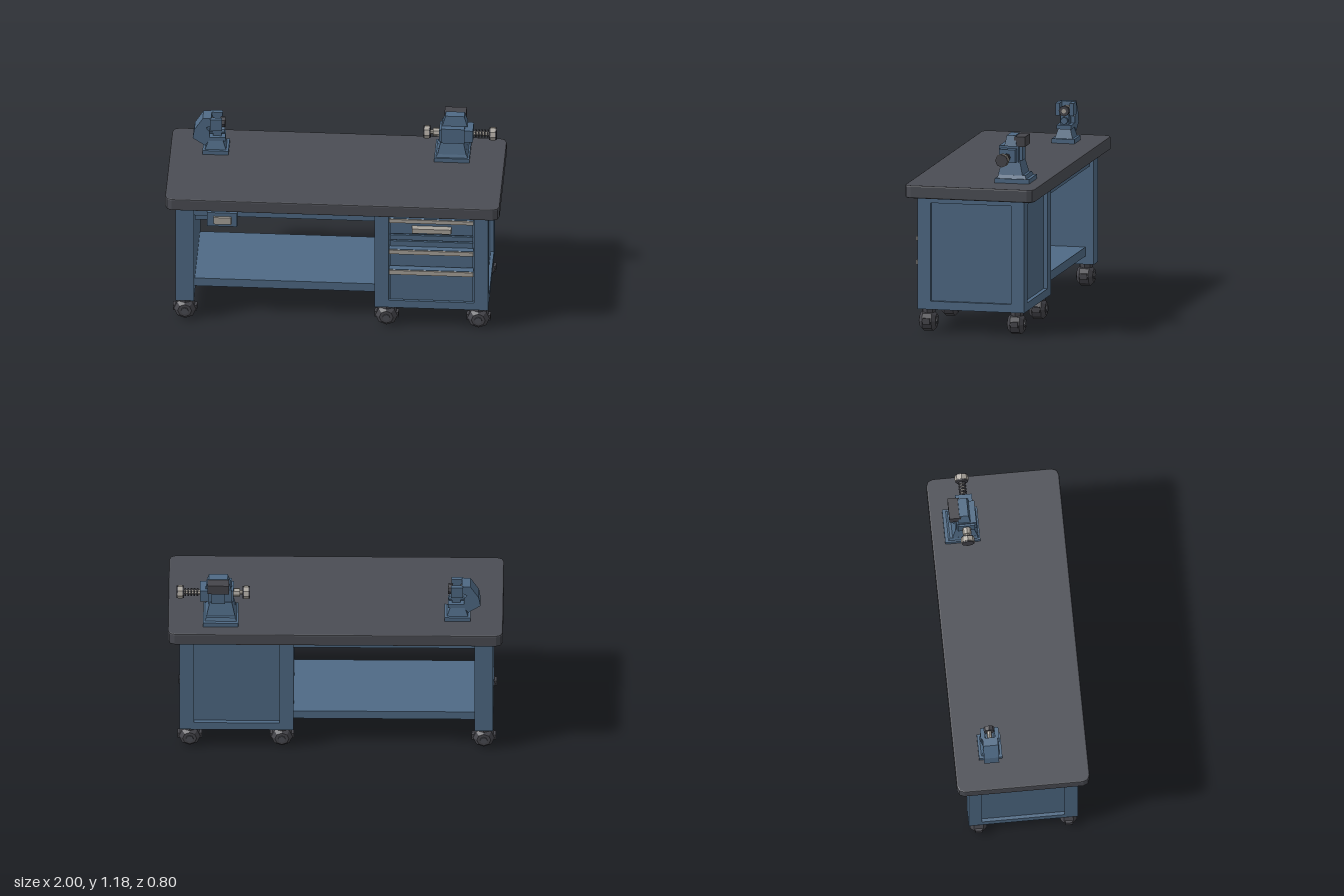
import * as THREE from 'three';

const mat = (name, color, flat = false) => {
  const m = new THREE.MeshStandardMaterial({ color, flatShading: flat });
  m.name = name;
  return m;
};

export function createModel() {
  const blue = mat('steel blue paint', 0x4f6a85, true);
  const charcoal = mat('charcoal worktop', 0x4b4d54, true);
  const rubber = mat('dark rubber', 0x45454b, true);
  const metal = mat('pale metal', 0xa8a39b, true);
  const root = new THREE.Group();
  root.name = 'workbench';

  const group = (name, parent = root) => {
    const g = new THREE.Group();
    g.name = name;
    parent.add(g);
    return g;
  };
  const add = (parent, name, geo, m) => {
    const mesh = new THREE.Mesh(geo, m);
    mesh.name = name;
    parent.add(mesh);
    return mesh;
  };
  // Box given by its limits on each axis
  const box = (parent, name, m, x0, x1, y0, y1, z0, z1) => {
    const b = add(parent, name, new THREE.BoxGeometry(x1 - x0, y1 - y0, z1 - z0), m);
    b.position.set((x0 + x1) / 2, (y0 + y1) / 2, (z0 + z1) / 2);
    return b;
  };
  // Block whose top face is scaled towards its middle
  const taper = (parent, name, m, x0, x1, y0, y1, z0, z1, sx, sz) => {
    const b = box(parent, name, m, x0, x1, y0, y1, z0, z1);
    const p = b.geometry.attributes.position;
    for (let i = 0; i < p.count; i++) {
      if (p.getY(i) > 0) p.setXYZ(i, p.getX(i) * sx, p.getY(i), p.getZ(i) * sz);
    }
    b.geometry.computeVertexNormals();
    return b;
  };
  // Rod along x
  const rod = (parent, name, m, x0, x1, y, z, r, sides = 8) => {
    const c = add(parent, name, new THREE.CylinderGeometry(r, r, x1 - x0, sides), m);
    c.rotation.z = Math.PI / 2;
    c.position.set((x0 + x1) / 2, y, z);
  };
  const polygon = (pts) => new THREE.Shape(pts.map(([x, y]) => new THREE.Vector2(x, y)));

  // Worktop with clipped corners and a soft edge
  const b = 0.008, X = 1 - b, Z = 0.398 - b, c = 0.035;
  const topShape = polygon([[-X + c, -Z], [X - c, -Z], [X - 0.01, -Z + 0.01], [X, -Z + c], [X, Z - c],
    [X - 0.01, Z - 0.01], [X - c, Z], [-X + c, Z], [-X + 0.01, Z - 0.01], [-X, Z - c], [-X, -Z + c], [-X + 0.01, -Z + 0.01]]);
  const topGeo = new THREE.ExtrudeGeometry(topShape, { depth: 0.078 - 2 * b, bevelSize: b, bevelThickness: b, bevelSegments: 2 });
  topGeo.rotateX(-Math.PI / 2);
  add(root, 'worktop', topGeo, charcoal).position.y = 0.82 + b;

  // Drawer cabinet: recessed core, corner posts and rails
  const cabinet = group('cabinet');
  const F = 0.33, B = -0.325, P = 0.08, Y0 = 0.14, Y1 = 0.82;
  box(cabinet, 'cabinetCore', blue, 0.25, 0.91, 0.175, Y1, B + 0.025, F - 0.02);
  for (const [x0, x1] of [[0.25, 0.335], [0.845, 0.93]]) {
    for (const [z0, z1] of [[F - P, F], [B, B + P]]) box(cabinet, 'cornerPost', blue, x0, x1, Y0, Y1, z0, z1);
    for (const [y0, y1] of [[Y0, 0.19], [0.785, Y1]]) box(cabinet, 'sideRail', blue, x0, x1, y0, y1, B + P, F - P);
  }
  for (const [z0, z1] of [[F - P, F], [B, B + P]]) {
    for (const [y0, y1] of [[Y0, 0.19], [0.785, Y1]]) box(cabinet, 'crossRail', blue, 0.335, 0.845, y0, y1, z0, z1);
  }

  // Drawer fronts with full-width pulls
  for (const [y0, y1] of [[0.195, 0.39], [0.432, 0.53], [0.572, 0.608], [0.616, 0.65], [0.66, 0.752]]) {
    box(cabinet, 'drawerFront', blue, 0.342, 0.838, y0, y1, F - 0.03, F - 0.008);
  }
  for (const [y0, y1] of [[0.39, 0.425], [0.535, 0.568], [0.752, 0.782]]) {
    const front = y1 > 0.7 ? 0.345 : 0.352;
    box(cabinet, 'drawerPull', blue, 0.338, 0.842, y0, y1, F - 0.03, front);
    box(cabinet, 'pullFace', metal, 0.338, 0.842, y0 + 0.003, y1 - 0.003, front, front + 0.008);
  }
  box(cabinet, 'smallPull', metal, 0.475, 0.71, 0.69, 0.72, F - 0.02, 0.36);

  // Left pedestal with a recessed outer panel
  const leg = group('leftPedestal');
  box(leg, 'pedestalPanel', blue, -0.92, -0.83, 0.17, Y1, B + 0.02, F - 0.02);
  for (const [z0, z1] of [[F - P, F], [B, B + P]]) box(leg, 'pedestalPost', blue, -0.94, -0.83, Y0, Y1, z0, z1);
  for (const [y0, y1] of [[Y0, 0.19], [0.785, Y1]]) box(leg, 'pedestalRail', blue, -0.94, -0.83, y0, y1, B + P, F - P);

  // Shelf, aprons and the small hanging drawer
  box(root, 'shelf', blue, -0.83, 0.25, 0.19, 0.245, -0.275, 0.24);
  box(root, 'frontApron', blue, -0.83, 0.25, 0.735, Y1, 0.27, 0.31);
  box(root, 'backApron', blue, -0.83, 0.25, 0.735, Y1, -0.3, -0.26);
  const hang = group('hangingDrawer');
  box(hang, 'drawerBox', blue, -0.825, -0.58, 0.7, 0.8, -0.25, 0.3);
  box(hang, 'hangingFront', blue, -0.75, -0.57, 0.685, 0.78, 0.3, 0.345);
  box(hang, 'hangingPull', metal, -0.71, -0.605, 0.708, 0.755, 0.345, 0.36);

  // Casters
  const tyre = new THREE.LatheGeometry([[0, -0.05], [0.042, -0.05], [0.064, -0.028], [0.066, 0.028], [0.042, 0.05], [0, 0.05]]
    .map(([r, y]) => new THREE.Vector2(r, y)), 8);
  tyre.rotateX(Math.PI / 2);
  for (const x of [-0.885, 0.32, 0.87]) {
    for (const z of [0.275, -0.265]) {
      const caster = group('caster');
      caster.position.set(x, 0, z);
      add(caster, 'wheel', tyre, rubber).position.y = 0.066;
      add(caster, 'stem', new THREE.CylinderGeometry(0.042, 0.042, 0.03, 8), rubber).position.y = 0.128;
      const hub = add(caster, 'hub', new THREE.CylinderGeometry(0.022, 0.022, 0.114, 8), charcoal);
      hub.rotation.x = Math.PI / 2;
      hub.position.y = 0.066;
      box(caster, 'fork', rubber, -0.072, 0.072, 0.05, 0.085, -0.022, 0.022);
    }
  }

  // Large vise
  const vise = group('largeVise');
  box(vise, 'viseBase', blue, 0.58, 0.79, 0.898, 0.925, -0.32, -0.11);
  taper(vise, 'viseFoot', blue, 0.59, 0.78, 0.925, 0.945, -0.3, -0.12, 0.9, 0.9);
  taper(vise, 'viseNeck', blue, 0.6, 0.77, 0.945, 1.03, -0.275, -0.125, 0.78, 0.72);
  box(vise, 'viseBody', blue, 0.62, 0.76, 1.02, 1.12, -0.25, -0.13);
  box(vise, 'leftCheek', blue, 0.608, 0.64, 1.025, 1.105, -0.24, -0.14);
  box(vise, 'rightCheek', blue, 0.74, 0.81, 1.025, 1.105, -0.24, -0.14);
  taper(vise, 'fixedJaw', blue, 0.625, 0.775, 1.12, 1.183, -0.24, -0.165, 0.75, 0.7);
  box(vise, 'jawPlate', rubber, 0.635, 0.765, 1.118, 1.178, -0.29, -0.222);
  box(vise, 'jawSlide', blue, 0.66, 0.74, 1.03, 1.12, -0.268, -0.24);
  rod(vise, 'spindle', metal, 0.54, 0.92, 1.06, -0.19, 0.014);
  for (let i = 0; i < 5; i++) rod(vise, 'threadRing', rubber, 0.82 + i * 0.018, 0.829 + i * 0.018, 1.06, -0.19, 0.024);
  for (const [x0, x1, r] of [[0.512, 0.555, 0.038], [0.905, 0.95, 0.038]]) {
    rod(vise, 'knobCore', rubber, x0, x1, 1.06, -0.19, r);
    rod(vise, 'knobCap', metal, x0 + 0.008, x1 - 0.008, 1.06, -0.19, r + 0.003);
  }
  rod(vise, 'collar', metal, 0.57, 0.608, 1.06, -0.19, 0.026);

  // Small vise with a curved clamp arm
  const small = group('smallVise');
  box(small, 'smallBase', blue, -0.805, -0.65, 0.898, 0.925, -0.25, -0.11);
  taper(small, 'smallNeck', blue, -0.79, -0.665, 0.925, 0.985, -0.235, -0.125, 0.65, 0.65);
  box(small, 'smallBody', blue, -0.765, -0.67, 0.98, 1.005, -0.225, -0.135);
  box(small, 'smallPost', blue, -0.745, -0.695, 1.005, 1.065, -0.205, -0.155);
  const arm = polygon([[-0.805, 1.135], [-0.755, 1.138], [-0.75, 1.09], [-0.785, 1.07], [-0.765, 1.045],
    [-0.765, 0.985], [-0.79, 0.945], [-0.865, 0.995], [-0.855, 1.055]]);
  add(small, 'clampArm', new THREE.ExtrudeGeometry(arm, { depth: 0.09, bevelEnabled: false }), blue).position.z = -0.225;
  for (const z of [-0.235, -0.15]) box(small, 'smallJaw', blue, -0.76, -0.69, 1.06, 1.135, z, z + 0.025);
  rod(small, 'smallScrew', metal, -0.79, -0.67, 1.09, -0.18, 0.014);
  rod(small, 'smallKnob', rubber, -0.7, -0.672, 1.09, -0.18, 0.032);
  rod(small, 'smallCollar', metal, -0.77, -0.745, 1.09, -0.18, 0.026);
  rod(small, 'lowerPin', blue, -0.765, -0.675, 1.03, -0.18, 0.022);
  return root;
}
